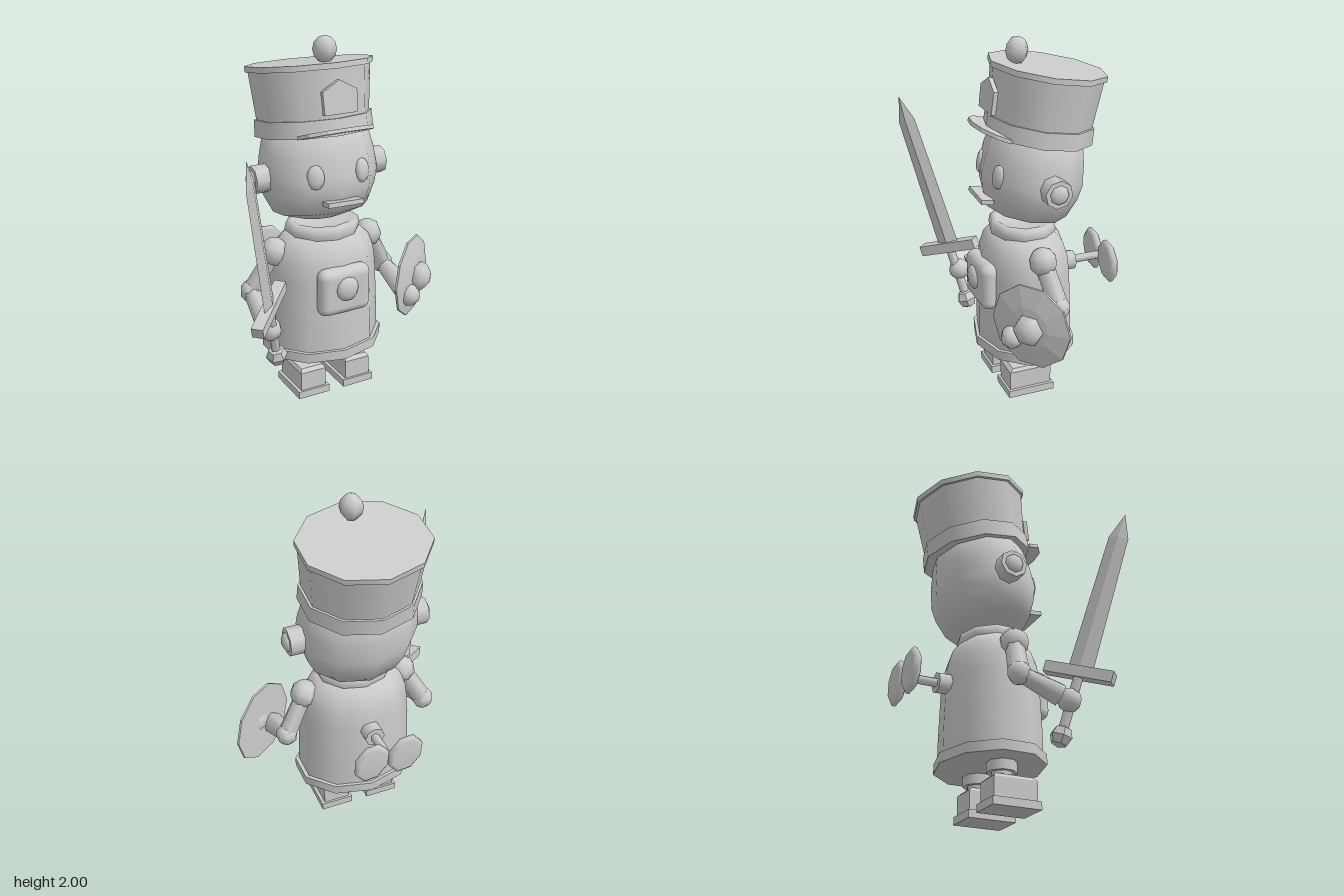
import * as THREE from 'three';
import { RoundedBoxGeometry } from 'three/addons/geometries/RoundedBoxGeometry.js';

const grey = new THREE.MeshStandardMaterial({ color: 0xcccccc });
const flat = new THREE.MeshStandardMaterial({ color: 0xcccccc, flatShading: true });
const V = (x, y, z) => new THREE.Vector3(x, y, z);
const UP = V(0, 1, 0);

function add(parent, name, geo, pos = [0, 0, 0], rot = [0, 0, 0], scale = [1, 1, 1], mat = grey) {
  const m = new THREE.Mesh(geo, mat);
  m.name = name;
  m.position.set(...pos);
  m.rotation.set(...rot);
  m.scale.set(...scale);
  parent.add(m);
  return m;
}
const group = (parent, name, pos = [0, 0, 0]) => {
  const g = new THREE.Group();
  g.name = name;
  g.position.set(...pos);
  parent.add(g);
  return g;
};
const cyl = (top, bottom, h, n = 10) => new THREE.CylinderGeometry(top, bottom, h, n);
const ball = (r, w = 8, h = 6) => new THREE.SphereGeometry(r, w, h);
const lathe = (pts, n = 10) => new THREE.LatheGeometry(pts.map(p => new THREE.Vector2(...p)), n);

// tapered limb segment from a to b
function limb(parent, name, a, b, ra, rb) {
  const d = b.clone().sub(a);
  const m = add(parent, name, cyl(rb, ra, d.length(), 6), a.clone().lerp(b, 0.5).toArray());
  m.quaternion.setFromUnitVectors(UP, d.normalize());
}

function buildBody(root) {
  const body = group(root, 'body');
  const oval = [1, 1, 0.8];
  add(body, 'torso', lathe([[0.33, 0.28], [0.327, 0.45], [0.315, 0.7], [0.302, 0.8], [0.27, 0.88], [0.2, 0.95], [0, 0.96]]),
    [0, 0, 0], [0, 0, 0], oval);
  add(body, 'hemRim', cyl(0.352, 0.352, 0.055), [0, 0.275, 0], [0, 0, 0], oval);
  add(body, 'collar', lathe([[0.2, 0.91], [0.215, 0.95], [0.205, 0.99], [0.17, 0.995], [0.12, 0.97], [0, 0.97]]),
    [0, 0, 0.005], [0, 0, 0], [1, 1, 0.86]);
  // chest plate with its round button
  add(body, 'chestPlate', new RoundedBoxGeometry(0.31, 0.27, 0.1, 3, 0.07), [0, 0.66, 0.243], [0, 0, 0], [1, 1, 1]);
  add(body, 'chestButton', ball(0.07, 8, 6), [0, 0.68, 0.29], [0, 0, 0], [1, 1, 0.5]);

  // wind-up key
  const key = group(body, 'windUpKey', [0, 0.68, 0]);
  add(key, 'keySocket', cyl(0.057, 0.057, 0.08, 8), [0, 0, -0.27], [Math.PI / 2, 0, 0]);
  add(key, 'keyStem', cyl(0.026, 0.026, 0.2, 6), [0, 0, -0.38], [Math.PI / 2, 0, 0]);
  for (const s of [-1, 1])
    add(key, 'keyWing', lathe([[0, -0.023], [0.08, -0.023], [0.097, -0.01], [0.097, 0.01], [0.08, 0.023], [0, 0.023]], 8),
      [s * 0.098, 0, -0.488], [Math.PI / 2, Math.PI / 8, 0], [1, 1, 1.25]);
}

function buildLeg(root, s) {
  const leg = group(root, s > 0 ? 'leftLeg' : 'rightLeg', [s * 0.142, 0, 0]);
  add(leg, 'legCuff', cyl(0.08, 0.08, 0.055, 8), [0, 0.218, 0], [0, Math.PI / 8, 0]);
  add(leg, 'shin', cyl(0.058, 0.058, 0.13, 8), [0, 0.2, 0]);
  add(leg, 'sole', new THREE.BoxGeometry(0.19, 0.043, 0.27), [0, 0.0215, 0.04]);
  add(leg, 'boot', new THREE.BoxGeometry(0.154, 0.11, 0.245), [0, 0.095, 0.04]);
  // chamfered top of the boot
  const top = cyl(0.064 * Math.SQRT2, 0.077 * Math.SQRT2, 0.018, 4).rotateY(Math.PI / 4);
  add(leg, 'bootTop', top, [0, 0.159, 0.04], [0, 0, 0], [1, 1, 1.59], flat);
}

function buildArm(root, s) {
  const arm = group(root, s > 0 ? 'leftArm' : 'rightArm');
  const shoulder = V(s * 0.295, 0.85, 0), elbow = V(s * 0.42, 0.625, -0.04), hand = V(s * 0.437, 0.52, 0.235);
  add(arm, 'shoulder', ball(0.08, 8, 5), shoulder.toArray(), [0, 0, s * 0.4]);
  limb(arm, 'upperArm', shoulder, elbow, 0.05, 0.055);
  add(arm, 'elbow', ball(0.063, 7, 5), elbow.toArray());
  limb(arm, 'forearm', elbow, elbow.clone().lerp(hand, 0.8), 0.045, 0.064);
  add(arm, 'hand', ball(0.063, 8, 6), hand.toArray());
}

function buildShield(root) {
  const shield = group(root, 'shield', [0.503, 0.597, 0.157]);
  shield.rotation.y = Math.atan2(0.586, 0.81);
  // shallow dome facing the local z axis
  const dome = lathe([[0, -0.012], [0.236, -0.012], [0.236, 0.0], [0.12, 0.025], [0, 0.035]]);
  dome.rotateY(Math.PI / 10).rotateX(Math.PI / 2);
  add(shield, 'shieldDisc', dome, [0, 0, 0], [0, 0, 0], [1, 1, 1], flat);
  add(shield, 'shieldBoss', ball(0.085, 6, 6).rotateX(Math.PI / 2), [0.01, 0, 0.04], [0, 0, 0], [1, 1, 0.8]);
}

function buildSword(root) {
  const sword = group(root, 'sword', [-0.462, 0.668, 0.285]);
  const y = V(-0.223, 1, 0.236).normalize();
  const x = V(0.265, 0.12, -0.258);
  x.addScaledVector(y, -x.dot(y)).normalize();
  sword.quaternion.setFromRotationMatrix(new THREE.Matrix4().makeBasis(x, y, x.clone().cross(y)));
  add(sword, 'guard', new THREE.BoxGeometry(0.37, 0.06, 0.065));
  add(sword, 'grip', cyl(0.026, 0.026, 0.34, 6), [0, -0.17, 0]);
  add(sword, 'pommel', ball(0.06, 6, 4), [0, -0.345, 0], [0, 0, 0], [1, 1, 1], flat);
  // four-sided diamond blade: long taper, then the point
  const blade = lathe([[0.068, 0], [0.055, 0.79], [0, 0.935]], 4);
  add(sword, 'blade', blade, [0, 0, 0], [0, 0, 0], [1, 1, 0.32], flat);
}

function buildHead(root) {
  // the whole head leans back a little
  const head = group(root, 'head', [0, 1.24, -0.042]);
  head.rotation.x = -0.155;
  add(head, 'skull', lathe([[0, -0.245], [0.12, -0.235], [0.27, -0.185], [0.32, -0.08], [0.338, 0.0], [0.325, 0.12], [0.295, 0.24], [0.2, 0.32], [0, 0.34]]),
    [0, 0, 0], [0, 0, 0], [1, 1, 0.83]);
  for (const s of [-1, 1]) {
    add(head, 'eye', ball(0.055, 7, 6), [s * 0.138, 0.025, 0.24], [0, s * 0.3, 0], [0.9, 1.2, 0.45]);
    const side = [0, 0, -s * Math.PI / 2];
    add(head, 'ear', cyl(0.077, 0.077, 0.12, 8), [s * 0.335, 0.02, 0], side);
    add(head, 'earCap', ball(0.055, 8, 6), [s * 0.39, 0.02, 0], side, [1, 0.6, 1]);
  }
  add(head, 'mouth', new THREE.BoxGeometry(0.21, 0.025, 0.07), [0, -0.125, 0.265], [0, 0, -0.03]);

  // tall hat
  const hat = group(head, 'hat');
  const oval = [1, 1, 0.9];
  add(hat, 'hatBand', cyl(0.326, 0.33, 0.09), [0, 0.275, -0.005], [0, 0, 0], oval);
  add(hat, 'hatCrown', cyl(0.338, 0.308, 0.32), [0, 0.43, -0.005], [0, 0, 0], oval);
  add(hat, 'hatTopRim', cyl(0.352, 0.352, 0.03), [0, 0.59, -0.005], [0, 0, 0], oval);
  // half-round visor, tipped up at the front
  const brim = new THREE.Shape();
  brim.moveTo(0.22, 0);
  for (let i = 1; i <= 6; i++) {
    const a = i * Math.PI / 6;
    brim.lineTo(0.22 * Math.cos(a), 0.15 * Math.sin(a));
  }
  const brimGeo = new THREE.ExtrudeGeometry(brim, { depth: 0.02, bevelEnabled: false }).rotateX(Math.PI / 2);
  add(hat, 'visor', brimGeo, [0, 0.25, 0.225], [-0.2, 0, 0]);
  // five-sided badge
  const badge = new THREE.Shape();
  [[0, 0.09], [0.1, 0.035], [0.095, -0.085], [-0.095, -0.085], [-0.1, 0.035]]
    .forEach(([px, py], i) => (i ? badge.lineTo(px, py) : badge.moveTo(px, py)));
  const badgeGeo = new THREE.ExtrudeGeometry(badge, { depth: 0.025, bevelEnabled: false });
  add(hat, 'badge', badgeGeo, [0, 0.43, 0.287], [0.03, 0, 0]);
  add(hat, 'pompom', ball(0.064, 6, 6), [0, 0.67, 0.178], [0.155, Math.PI / 2, 0, 'YXZ'].slice(0, 3), [1, 1.13, 1]);
}

export function createModel() {
  const model = new THREE.Group();
  const figure = group(model, 'toySoldier', [-0.013, 0, 0]);
  buildBody(figure);
  for (const s of [-1, 1]) {
    buildLeg(figure, s);
    buildArm(figure, s);
  }
  buildShield(figure);
  buildSword(figure);
  buildHead(figure);
  return model;
}
